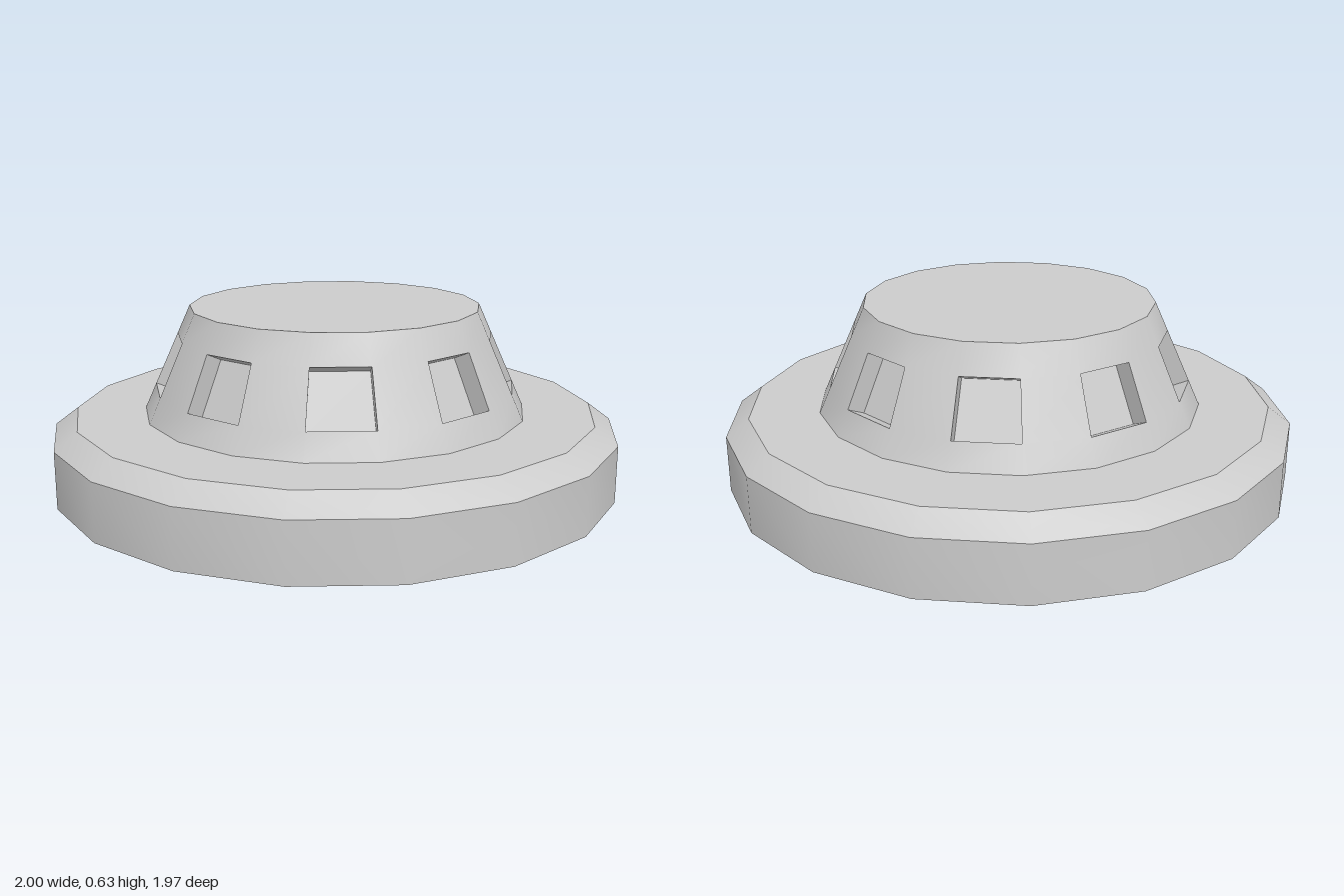
import * as THREE from 'three';
import { toCreasedNormals } from 'three/addons/utils/BufferGeometryUtils.js';

const SIDES = 18;
const STEP = (Math.PI * 2) / SIDES;
const CREASE = 0.5;

// Conical tower: bottom and top radius and height
const R0 = 0.677, R1 = 0.51, Y0 = 0.26, Y1 = 0.63;
const WINDOW_BOTTOM = 0.348, WINDOW_TOP = 0.53, WINDOW_DEPTH = 0.07;

function conePoint(phi, y) {
  const r = THREE.MathUtils.mapLinear(y, Y0, Y1, R0, R1);
  return new THREE.Vector3(Math.sin(phi) * r, y, Math.cos(phi) * r);
}

function towerGeometry() {
  const positions = [];
  const tri = (...pts) => pts.forEach((p) => positions.push(p.x, p.y, p.z));
  const quad = (a, b, c, d) => { tri(a, b, c); tri(a, c, d); };
  const levels = [Y0, WINDOW_BOTTOM, WINDOW_TOP, Y1];
  const topCentre = new THREE.Vector3(0, Y1, 0);

  for (let i = 0; i < SIDES; i++) {
    const left = (i - 0.5) * STEP, right = (i + 0.5) * STEP;
    for (let j = 0; j < 3; j++) {
      const outer = [
        conePoint(left, levels[j]), conePoint(right, levels[j]),
        conePoint(right, levels[j + 1]), conePoint(left, levels[j + 1]),
      ];
      if (j !== 1 || i % 2 === 1) {
        quad(...outer);
        continue;
      }
      // Window in every second facet, pushed straight in along the facet normal
      const inward = new THREE.Vector3()
        .crossVectors(outer[1].clone().sub(outer[0]), outer[3].clone().sub(outer[0]))
        .setLength(-WINDOW_DEPTH);
      const inner = outer.map((p) => p.clone().add(inward));
      quad(...inner);
      for (let k = 0; k < 4; k++) {
        const n = (k + 1) % 4;
        quad(outer[k], outer[n], inner[n], inner[k]);
      }
    }
    // Flat roof
    tri(topCentre, conePoint(left, Y1), conePoint(right, Y1));
  }
  const geometry = new THREE.BufferGeometry();
  geometry.setAttribute('position', new THREE.Float32BufferAttribute(positions, 3));
  return toCreasedNormals(geometry, CREASE);
}

// Broad base disc with a bevelled upper rim
function baseGeometry() {
  const profile = [[0, 0], [1, 0], [1, 0.2], [0.92, 0.26], [0, 0.26]]
    .map(([r, y]) => new THREE.Vector2(r, y));
  return toCreasedNormals(new THREE.LatheGeometry(profile, SIDES, STEP / 2), CREASE);
}

export function createModel() {
  const group = new THREE.Group();
  const material = new THREE.MeshStandardMaterial({ color: 0xcccccc });
  const add = (name, geometry) => {
    const mesh = new THREE.Mesh(geometry, material);
    mesh.name = name;
    group.add(mesh);
  };
  add('base', baseGeometry());
  add('windowedTower', towerGeometry());
  return group;
}
